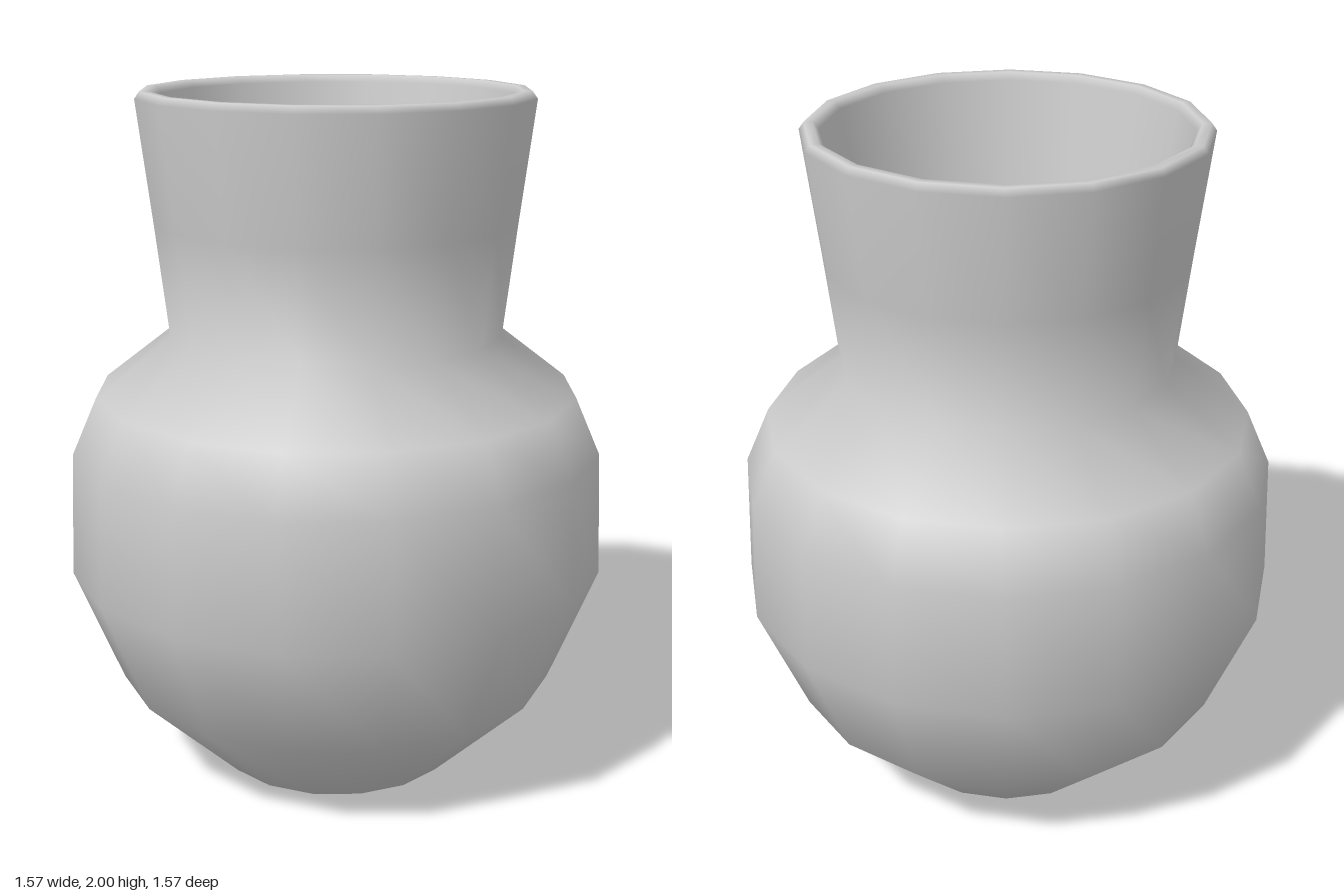
import * as THREE from 'three';

const SIDES = 16;

// Turn a list of [radius, height] pairs into a smooth 16-sided surface
function turned(name, profile) {
  const points = profile.map(([r, y]) => new THREE.Vector2(r, y));
  const material = new THREE.MeshStandardMaterial({ color: 0xcccccc, side: THREE.DoubleSide });
  const mesh = new THREE.Mesh(new THREE.LatheGeometry(points, SIDES), material);
  mesh.name = name;
  return mesh;
}

export function createModel() {
  const vase = new THREE.Group();
  vase.name = 'vase';

  // Outside: base, round belly, shoulder, flared neck, rounded rim, then down the inside of the neck
  vase.add(turned('outerWall', [
    [0, 0], [0.355, 0], [0.645, 0.275], [0.785, 0.615], [0.772, 0.975], [0.7, 1.14],
    [0.482, 1.31], [0.52, 1.63], [0.564, 1.98], [0.55, 2],
    [0.525, 2], [0.51, 1.98], [0.46, 1.63], [0.405, 1.35],
  ]));

  // Lip of the shoulder showing inside the neck
  vase.add(turned('innerLip', [[0.42, 1.34], [0.375, 1.37]]));

  // Hollow of the belly
  vase.add(turned('innerWall', [
    [0.375, 1.37], [0.375, 1.32], [0.64, 1.11], [0.712, 0.96],
    [0.725, 0.625], [0.595, 0.305], [0.335, 0.06], [0, 0.06],
  ]));

  return vase;
}
